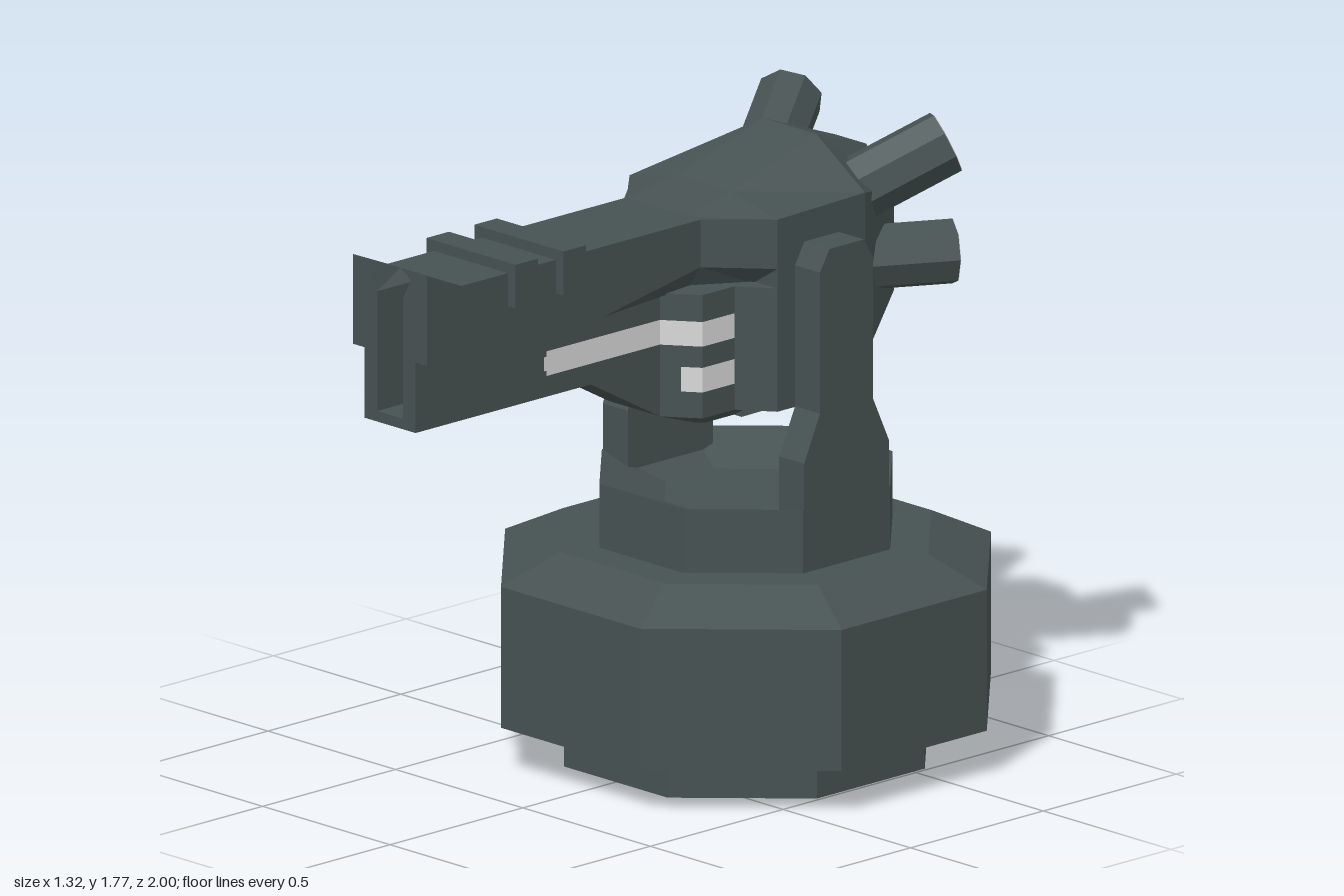
import * as THREE from 'three';

const steel = new THREE.MeshStandardMaterial({ color: 0x465151 });
steel.name = 'dark steel';
const pale = new THREE.MeshStandardMaterial({ color: 0xd8d8d8, side: THREE.DoubleSide });
pale.name = 'pale marking';

// Faceted mesh from any geometry
function part(parent, name, geometry, material = steel) {
  const g = geometry.index ? geometry.toNonIndexed() : geometry;
  g.computeVertexNormals();
  const mesh = new THREE.Mesh(g, material);
  mesh.name = name;
  parent.add(mesh);
  return mesh;
}

// Box given by its extents
function box(x0, x1, y0, y1, z0, z1) {
  return new THREE.BoxGeometry(x1 - x0, y1 - y0, z1 - z0)
    .translate((x0 + x1) / 2, (y0 + y1) / 2, (z0 + z1) / 2);
}

// Closed solid through rings of convex cross-sections; winding fixed by volume
function loft(rings) {
  const n = rings[0].length, tris = [];
  for (let r = 0; r < rings.length - 1; r++) {
    for (let i = 0; i < n; i++) {
      const j = (i + 1) % n, a = rings[r], b = rings[r + 1];
      tris.push([a[i], a[j], b[j]], [a[i], b[j], b[i]]);
    }
  }
  const first = rings[0], last = rings[rings.length - 1];
  for (let i = 1; i < n - 1; i++) {
    tris.push([first[0], first[i + 1], first[i]], [last[0], last[i], last[i + 1]]);
  }
  const vec = (p) => new THREE.Vector3(...p);
  const o = vec(first[0]);
  let volume = 0;
  for (const [a, b, c] of tris) {
    volume += vec(a).sub(o).dot(vec(b).sub(o).cross(vec(c).sub(o)));
  }
  const flat = tris.flatMap(([a, b, c]) => (volume < 0 ? [a, c, b] : [a, b, c])).flat();
  const g = new THREE.BufferGeometry();
  g.setAttribute('position', new THREE.Float32BufferAttribute(flat, 3));
  return g;
}

// Half outline mirrored across x = 0
const mirrored = (half) => [...half, ...half.map(([x, y, z]) => [-x, y, z]).reverse()];
const ringZ = (z, half) => mirrored(half.map(([x, y]) => [x, y, z]));
const ringY = (y, half) => mirrored(half.map(([x, z]) => [x, y, z]));

// Side profile of [z, y] points extruded from x0 to x1
function sideExtrude(points, x0, x1) {
  const shape = new THREE.Shape(points.map(([z, y]) => new THREE.Vector2(z, y)));
  return new THREE.ExtrudeGeometry(shape, { depth: x1 - x0, bevelEnabled: false })
    .rotateY(-Math.PI / 2).translate(x1, 0, 0);
}

// Vertical ribbon following [x, z] points
function ribbon(path, y0, y1) {
  const v = [];
  for (let i = 0; i < path.length - 1; i++) {
    const [ax, az] = path[i], [bx, bz] = path[i + 1];
    v.push(ax, y0, az, bx, y0, bz, bx, y1, bz, ax, y0, az, bx, y1, bz, ax, y1, az);
  }
  const g = new THREE.BufferGeometry();
  g.setAttribute('position', new THREE.Float32BufferAttribute(v, 3));
  return g;
}

// Canister with a checkered end face
function canister(parent, name, start, end) {
  const a = new THREE.Vector3(...start), b = new THREE.Vector3(...end);
  const length = a.distanceTo(b), R = 0.092;
  const group = new THREE.Group();
  group.name = name;
  group.position.copy(a);
  group.quaternion.setFromUnitVectors(new THREE.Vector3(0, 0, 1), b.clone().sub(a).normalize());
  parent.add(group);
  part(group, 'canisterBody', new THREE.CylinderGeometry(R, R, length, 8)
    .rotateX(Math.PI / 2).translate(0, 0, length / 2));
  part(group, 'canisterEnd', new THREE.CircleGeometry(R * 0.97, 8)
    .rotateZ(Math.PI / 8 + Math.PI / 8).translate(0, 0, length + 0.002), pale);
  part(group, 'endCheckCentre', new THREE.PlaneGeometry(0.042, 0.042)
    .translate(0, 0, length + 0.004));
  for (let i = 0; i < 4; i++) {
    part(group, 'endCheckEdge', new THREE.PlaneGeometry(0.034, 0.04)
      .translate(0.062, 0, length + 0.004).rotateZ(Math.PI / 4 + i * Math.PI / 2));
  }
}

export function createModel() {
  const model = new THREE.Group();
  model.name = 'turret';

  // Octagonal pedestal with a dished collar
  const k = 1 / Math.cos(Math.PI / 8);
  const profile = [[0, 0], [0.49, 0], [0.49, 0.13], [0.66, 0.13], [0.66, 0.53], [0.5, 0.61],
    [0.395, 0.61], [0.395, 0.79], [0.22, 0.72], [0, 0.72]];
  part(model, 'pedestal', new THREE.LatheGeometry(
    profile.map(([r, y]) => new THREE.Vector2(r * k, y)), 8, Math.PI / 8).translate(0, 0, -0.34));

  // Support arms
  const arm = [[-0.18, 0.62], [-0.18, 0.92], [-0.24, 1.05], [-0.24, 1.45], [-0.275, 1.51],
    [-0.405, 1.51], [-0.44, 1.45], [-0.44, 1.05], [-0.5, 0.92], [-0.5, 0.62]].reverse();
  part(model, 'leftArm', sideExtrude(arm, 0.297, 0.395));
  part(model, 'rightArm', sideExtrude(arm, -0.395, -0.297));

  const head = new THREE.Group();
  head.name = 'head';
  model.add(head);

  // Main housing, front to back
  part(head, 'housing', loft([
    ringZ(-0.18, [[0.105, 1.63], [0.29, 1.59], [0.29, 1.06], [0.15, 1.0]]),
    ringZ(-0.505, [[0.105, 1.725], [0.295, 1.6], [0.295, 1.13], [0.1, 1.0]]),
    ringZ(-0.735, [[0.06, 1.64], [0.17, 1.54], [0.17, 1.25], [0.08, 1.17]]),
  ]));
  part(head, 'upperFairing', loft([
    ringZ(0.34, [[0.105, 1.59], [0.145, 1.59], [0.145, 1.39], [0.1, 1.39]]),
    ringZ(-0.03, [[0.105, 1.59], [0.145, 1.59], [0.145, 1.455], [0.1, 1.39]]),
    ringZ(-0.18, [[0.105, 1.63], [0.29, 1.59], [0.29, 1.45], [0.195, 1.39]]),
  ]));

  // Lower front cheeks
  const cheek = [[0.1, 0.08], [0.195, 0.01], [0.195, -0.25]];
  part(head, 'frontBlock', loft([
    ringY(1.0, [[0.1, -0.05], [0.12, -0.07], [0.12, -0.25]]),
    ringY(1.045, cheek),
    ringY(1.395, cheek),
  ]));
  for (const s of [1, -1]) {
    const foot = [[0.195, -0.11], [0.29, -0.18], [0.29, -0.25], [0.195, -0.25]];
    part(head, s > 0 ? 'leftCheek' : 'rightCheek',
      loft([1.045, 1.395].map((y) => foot.map(([x, z]) => [s * x, y, z]))));
  }

  // Barrel
  part(head, 'upperBarrel', box(-0.145, 0.145, 1.39, 1.59, 0.34, 0.87));
  part(head, 'lowerBarrel', sideExtrude([[0.87, 1.39], [-0.2, 1.39], [-0.2, 1.0], [-0.05, 1.0],
    [0.08, 1.045], [0.34, 1.19], [0.87, 1.19]], -0.1, 0.1));
  for (const z of [0.43, 0.61]) {
    part(head, 'barrelRib', box(-0.175, 0.175, 1.495, 1.62, z, z + 0.085));
  }

  // Forked muzzle
  for (const s of [1, -1]) {
    const prong = (z, top) => [[0.145, 1.39], [0.145, top], [0.095, top], [0.05, 1.56], [0.05, 1.39]]
      .map(([x, y]) => [s * x, y, z]);
    part(head, 'muzzleProng', loft([prong(0.87, 1.59), prong(1, 1.645)]));
    part(head, 'lowerProng', box(s > 0 ? 0.05 : -0.1, s > 0 ? 0.1 : -0.05, 1.19, 1.39, 0.87, 1));
  }
  part(head, 'muzzleFloor', box(-0.05, 0.05, 1.19, 1.22, 0.87, 1));
  part(head, 'muzzleGlow', new THREE.PlaneGeometry(0.092, 0.34).translate(0, 1.39, 0.873), pale);

  // Side stripes; those on the right wrap a little further back
  for (const s of [1, -1]) {
    const tail = s > 0 ? [[0.198, -0.107]] : [[0.198, -0.107], [0.237, -0.136]];
    const path = (points) => [...points, ...tail].map(([x, z]) => [s * x, z]);
    part(head, 'longStripe', ribbon(path([[0.103, 0.51], [0.103, 0.083], [0.198, 0.013]]), 1.25, 1.32), pale);
    part(head, 'longStripeTip', ribbon([[s * 0.103, 0.52], [s * 0.103, 0.51]], 1.265, 1.305), pale);
    part(head, 'shortStripe', ribbon(path([[0.15, 0.049], [0.198, 0.013]]), 1.12, 1.19), pale);
  }

  // Rear canisters
  for (const s of [1, -1]) {
    const side = s > 0 ? 'left' : 'right';
    canister(head, side + 'UpperCanister', [s * 0.16, 1.55, -0.55], [s * 0.305, 1.685, -0.8]);
    canister(head, side + 'LowerCanister', [s * 0.16, 1.37, -0.57], [s * 0.305, 1.37, -0.825]);
  }
  return model;
}
